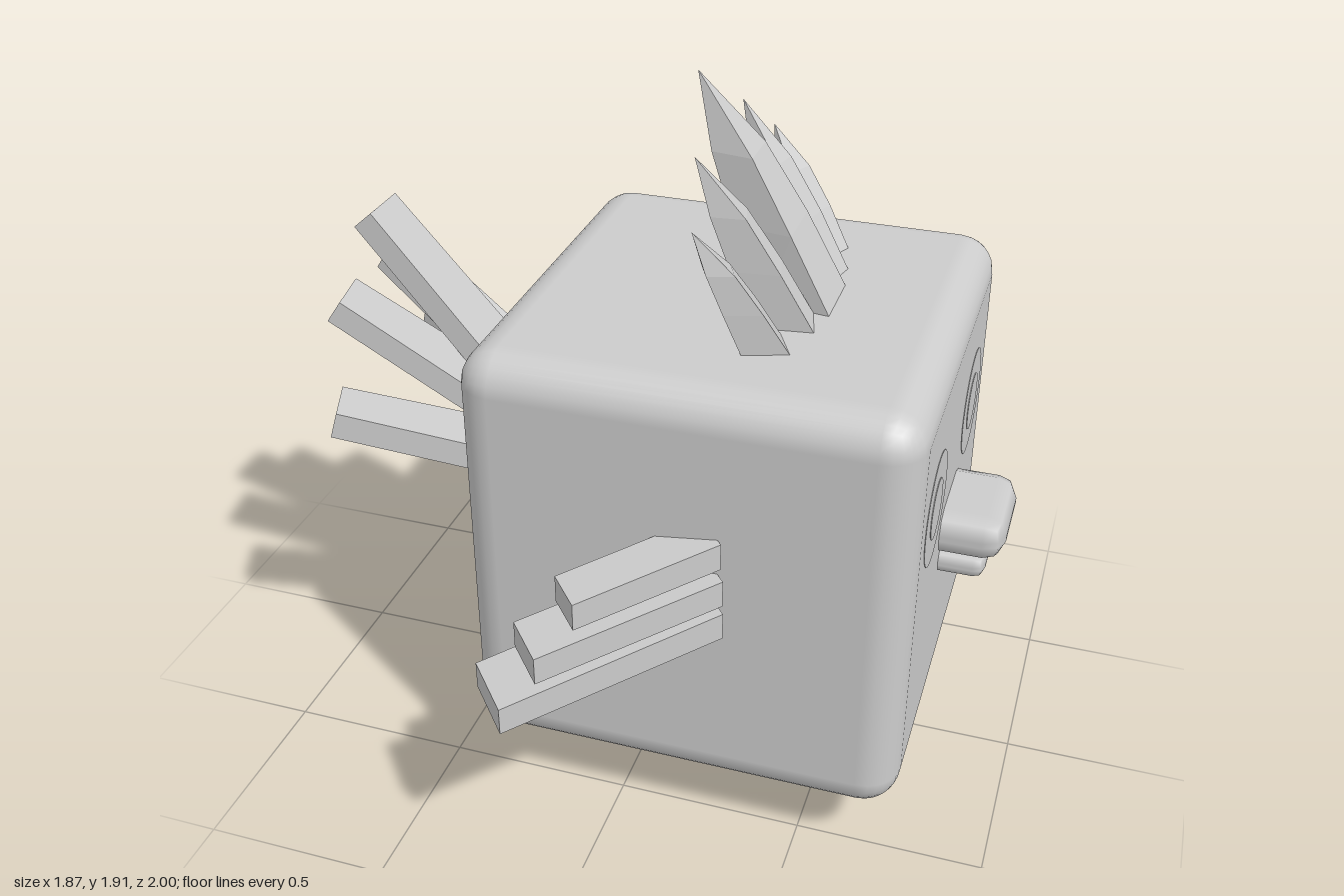
import * as THREE from 'three';
import { RoundedBoxGeometry } from 'three/addons/geometries/RoundedBoxGeometry.js';

export function createModel() {
  const model = new THREE.Group();
  model.name = 'cubeBird';
  const grey = new THREE.MeshStandardMaterial({ color: 0xcccccc });
  grey.name = 'light grey';

  const add = (name, geometry, x = 0, y = 0, z = 0) => {
    const mesh = new THREE.Mesh(geometry, grey);
    mesh.name = name;
    mesh.position.set(x, y, z);
    model.add(mesh);
    return mesh;
  };

  // Straight feather board from a to b, tapering from width w0 to w1
  const board = (name, a, b, w0, w1, thick, upright) => {
    const along = b.clone().sub(a);
    const side = new THREE.Vector3(-along.z, 0, along.x).normalize();
    const up = upright ? new THREE.Vector3(0, 1, 0) : side.clone().cross(along).normalize();
    if (up.y < 0) up.negate();
    side.copy(along).cross(up).normalize();
    const geometry = new THREE.BoxGeometry(1, 1, 1);
    const pos = geometry.attributes.position;
    for (let i = 0; i < pos.count; i++) {
      const t = pos.getX(i) + 0.5;
      const p = a.clone().addScaledVector(along, t)
        .addScaledVector(up, pos.getY(i) * thick)
        .addScaledVector(side, pos.getZ(i) * (w0 + (w1 - w0) * t));
      pos.setXYZ(i, p.x, p.y, p.z);
    }
    geometry.computeVertexNormals();
    add(name, geometry);
  };

  // Swept-back crest spike: trapezoid sections rising to a point
  const spike = (x, z, yaw, lean, height, half) => {
    const rows = [ // height, front offset, back offset, width
      [-0.03, -0.02, 0.49, 1], [0.35, 0.29, 0.7, 0.9],
      [0.67, 0.58, 0.87, 0.66], [1, 1, 1, 0]];
    const rings = rows.map(([t, f, b, w]) => [
      [-f * lean, t * height, half * w], [-f * lean, t * height, -half * w],
      [-b * lean, t * height, -half * w * 0.7], [-b * lean, t * height, half * w * 0.7]]);
    const out = [];
    for (let r = 0; r < 3; r++) {
      for (let k = 0; k < 4; k++) {
        const n = (k + 1) % 4;
        const [p, q, s, u] = [rings[r][k], rings[r][n], rings[r + 1][n], rings[r + 1][k]];
        out.push(...p, ...q, ...s);
        if (r < 2) out.push(...p, ...s, ...u);
      }
    }
    const geometry = new THREE.BufferGeometry();
    geometry.setAttribute('position', new THREE.Float32BufferAttribute(out, 3));
    geometry.computeVertexNormals();
    add('crestSpike', geometry, x, 1.34, z).rotation.y = yaw;
  };

  // Body
  add('body', new RoundedBoxGeometry(1.165, 1.17, 1.17, 3, 0.1), 0.18, 0.757, 0);

  // Beak
  add('upperBeak', new RoundedBoxGeometry(0.33, 0.125, 0.3, 1, 0.055), 0.765, 0.77, 0);
  add('lowerBeak', new RoundedBoxGeometry(0.28, 0.068, 0.25, 1, 0.03), 0.745, 0.673, 0);

  // Tail: centre feather
  const v = (x, y, z) => new THREE.Vector3(x, y, z);
  board('tailFeather', v(-0.3, 0.755, 0), v(-0.878, 1.42, 0), 0.19, 0.15, 0.07);
  spike(0.43, 0, 0, 0.38, 0.575, 0.095);

  for (const s of [-1, 1]) {
    // Feet
    add('foot', new RoundedBoxGeometry(0.28, 0.3, 0.275, 1, 0.065), 0.18, 0.15, s * 0.232);

    // Eyes: thin discs on the face
    for (const [name, radius, x] of [['eye', 0.15, 0.7625], ['pupil', 0.08, 0.7645]]) {
      const disc = new THREE.CylinderGeometry(radius, radius, 0.003, 32);
      add(name, disc.rotateZ(-Math.PI / 2), x, 0.95, s * 0.28);
    }

    // Wing boards: outer tip corner x, z, inner end x, width, heights
    for (const [tx, tz, ix, w, y0, y1] of [
      [-0.125, 1.0, 0.315, 0.188, 0.618, 0.73],
      [-0.06, 0.928, 0.31, 0.155, 0.73, 0.818],
      [0.01, 0.848, 0.3, 0.125, 0.848, 0.918]]) {
      const dx = -0.649 * w / 2, dz = -0.761 * w / 2;
      const iz = tz - (ix - tx) * 0.853;
      board('wingFeather', v(ix + dx, y1, s * (iz + dz)), v(tx + dx, y0, s * (tz + dz)), w, w, 0.074, true);
    }

    // Tail side feathers
    board('tailFeather', v(-0.3, 0.8, s * 0.056), v(-0.912, 1.22, s * 0.17), 0.19, 0.15, 0.07);
    board('tailFeather', v(-0.3, 0.786, s * 0.117), v(-0.868, 0.966, s * 0.338), 0.18, 0.148, 0.075);

    // Crest side spikes
    spike(0.402, s * 0.14, s * 0.24, 0.303, 0.435, 0.054);
    spike(0.362, s * 0.27, s * 0.46, 0.235, 0.315, 0.056);
  }
  return model;
}
